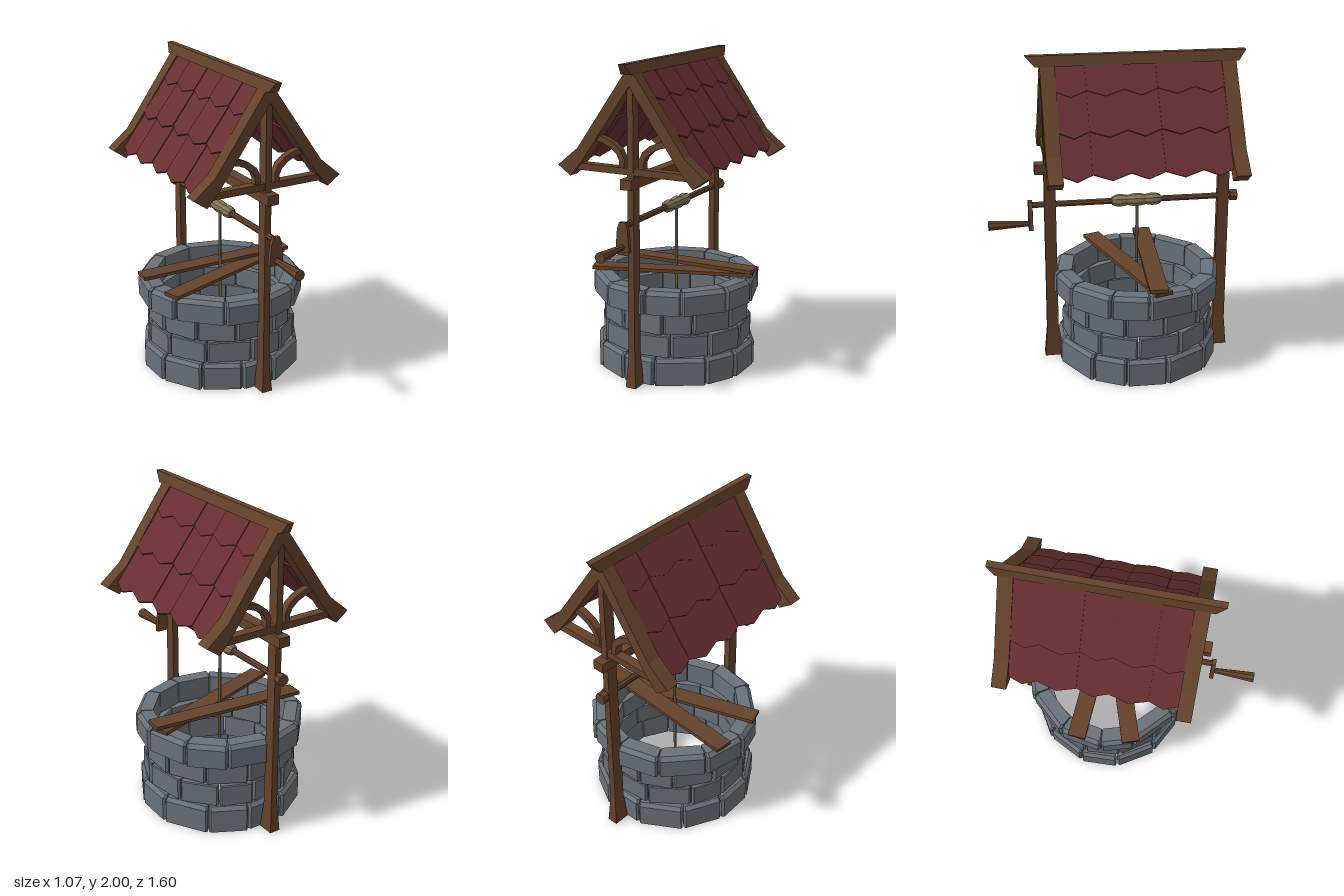
import * as THREE from 'three';

const mat = (name, color) => new THREE.MeshStandardMaterial({ name, color, flatShading: true });
const CZ = -0.14; // z of the well's axis

// Solid from stacked rings of [x, y, z], each counter-clockwise seen from above
function loft(rings) {
  const pos = [];
  const tri = (a, b, c) => pos.push(...a, ...b, ...c);
  const n = rings[0].length;
  for (let k = 0; k + 1 < rings.length; k++) {
    for (let i = 0; i < n; i++) {
      const j = (i + 1) % n, a = rings[k], b = rings[k + 1];
      tri(a[i], a[j], b[j]);
      tri(a[i], b[j], b[i]);
    }
  }
  const lo = rings[0], hi = rings[rings.length - 1];
  for (let i = 1; i + 1 < n; i++) {
    tri(hi[0], hi[i], hi[i + 1]);
    tri(lo[0], lo[i + 1], lo[i]);
  }
  const g = new THREE.BufferGeometry();
  g.setAttribute('position', new THREE.Float32BufferAttribute(pos, 3));
  g.computeVertexNormals();
  return g;
}

const rect = (y, hx, z0, z1) => [[-hx, y, z1], [hx, y, z1], [hx, y, z0], [-hx, y, z0]];

const shapeOf = (pts) => new THREE.Shape(pts.map(([x, y]) => new THREE.Vector2(x, y)));

export function createModel() {
  const root = new THREE.Group();
  root.name = 'well';
  const wood = mat('wood', 0x64422b);
  const red = mat('roof red', 0x682f31);
  const stone = mat('stone grey', 0x69727a);
  const rope = mat('rope', 0x827856);

  const add = (name, geo, m, parent = root) => {
    const mesh = new THREE.Mesh(geo, m);
    mesh.name = name;
    parent.add(mesh);
    return mesh;
  };
  const box = (name, w, h, d, x, y, z, parent) => {
    const b = add(name, new THREE.BoxGeometry(w, h, d), wood, parent);
    b.position.set(x, y, z);
    return b;
  };

  let seed = 7;
  const rnd = () => (seed = (seed * 16807) % 2147483647) / 2147483647 - 0.5;

  // Stone wall: four courses of twelve chamfered blocks
  const wall = new THREE.Group();
  wall.name = 'stoneWall';
  wall.position.z = CZ;
  root.add(wall);
  const courses = [ // bottom, top, outer radius, inner radius, first joint in degrees, top bevel
    [0, 0.172, 0.515, 0.425, 16, 0.022],
    [0.178, 0.315, 0.485, 0.405, -8, 0.006],
    [0.323, 0.458, 0.475, 0.4, 14, 0.006],
    [0.465, 0.612, 0.535, 0.425, 2, 0.025],
  ];
  for (const [y0, y1, ro, ri, first, bevel] of courses) {
    const joints = [...Array(12)].map((_, i) => THREE.MathUtils.degToRad(first + i * 30 + rnd() * 8));
    for (let i = 0; i < 12; i++) {
      const a = joints[i] + 0.007;
      const b = (i < 11 ? joints[i + 1] : joints[0] + Math.PI * 2) - 0.007;
      const r = ro + rnd() * 0.014;
      const ring = (y, inset) => [
        [a, r - 0.014], [a + 0.025, r], [b - 0.025, r], [b, r - 0.014], [b, ri], [a, ri],
      ].map(([t, q], k) => {
        const s = k < 4 ? q - inset : q;
        return [Math.sin(t) * s, y, Math.cos(t) * s];
      });
      add('stoneBlock', loft([ring(y0, 0), ring(y1 - bevel, 0), ring(y1, bevel)]), stone, wall);
    }
  }

  // Posts, trusses and curved braces at both ends
  const half = [[0.36, 1.475], [0.5, 1.36], [0.415, 1.3], [0.335, 1.39]];
  const mirror = (pts) => pts.map(([x, y]) => [-x, y]).reverse();
  const rafters = shapeOf([[0, 1.985], ...half, [0, 1.865], ...mirror(half)]);
  const brace = shapeOf([
    [0.05, 1.37], [0.05, 1.435], [0.075, 1.485], [0.125, 1.525], [0.185, 1.55], [0.245, 1.56],
    [0.26, 1.525], [0.195, 1.515], [0.14, 1.49], [0.1, 1.455], [0.083, 1.42], [0.083, 1.37],
  ].reverse());
  for (const z of [0.412, -0.692]) {
    const end = new THREE.Group();
    end.name = z > 0 ? 'frontFrame' : 'backFrame';
    end.position.z = z;
    root.add(end);
    add('post', loft([
      rect(0, 0.035, -0.053, 0.053), rect(0.07, 0.03, -0.047, 0.047),
      rect(0.19, 0.022, -0.037, 0.037), rect(1.86, 0.02, -0.035, 0.035),
    ]), wood, end);
    const g = new THREE.ExtrudeGeometry(rafters, { depth: 0.09, bevelEnabled: false });
    add('rafters', g.translate(0, 0, -0.045), wood, end);
    box('tieBeam', 0.74, 0.042, 0.06, 0, 1.36, 0, end);
    for (const turn of [0, Math.PI]) {
      const bg = new THREE.ExtrudeGeometry(brace, { depth: 0.046, bevelEnabled: false });
      add('brace', bg.translate(0, 0, -0.023), wood, end).rotation.y = turn;
    }
  }
  box('longBeam', 0.074, 0.062, 1.285, 0, 1.293, -0.138);
  add('ridgeBeam', loft([rect(1.935, 0.036, -0.755, 0.485), rect(2, 0.02, -0.8, 0.542)]), wood);

  // Roof: three overlapping rows of pointed shingles on each slope
  const edges = [-0.515, -0.33, -0.1, 0.1, 0.33, 0.515];
  const rowEnds = [0.264, 0.52, 0.783];
  for (const turn of [0, Math.PI]) {
    const side = new THREE.Group();
    side.name = turn ? 'rightRoof' : 'leftRoof';
    side.position.set(0, 1.994, CZ);
    side.rotation.y = turn;
    root.add(side);
    const slope = new THREE.Group();
    slope.name = 'shingles';
    slope.quaternion.setFromRotationMatrix(new THREE.Matrix4().makeBasis(
      new THREE.Vector3(0, 0, -1), new THREE.Vector3(-0.568, 0.823, 0), new THREE.Vector3(0.823, 0.568, 0)));
    side.add(slope);
    rowEnds.forEach((s1, r) => {
      const s0 = r ? rowEnds[r - 1] - 0.1 : 0.045;
      const len = s1 - s0;
      for (let i = 0; i < 5; i++) {
        const x0 = edges[i], x1 = edges[i + 1];
        const tile = shapeOf([[x0, 0], [x0, -len + 0.04], [(x0 + x1) / 2, -len], [x1, -len + 0.04], [x1, 0]]);
        const m = add('shingle', new THREE.ExtrudeGeometry(tile, { depth: 0.012, bevelEnabled: false }), red, slope);
        m.position.set(0, -s0, -0.028 + (i % 2) * 0.005);
        m.rotation.x = -0.05;
      }
    });
  }

  // Windlass: axle, end knob, crank arm and tapered handle
  const rod = (name, r0, r1, z0, z1, y, sides, m) => {
    const g = new THREE.CylinderGeometry(r1, r0, z1 - z0, sides).rotateX(Math.PI / 2);
    add(name, g, m).position.set(0, y, (z0 + z1) / 2);
  };
  rod('axle', 0.02, 0.02, -0.76, 0.54, 1.052, 8, wood);
  rod('axleKnob', 0.037, 0.037, -0.782, -0.738, 1.052, 8, wood);
  add('crankArm', loft([
    rect(0.897, 0.047, 0.522, 0.548), rect(1.04, 0.035, 0.522, 0.548), rect(1.078, 0.02, 0.522, 0.548),
  ]), wood);
  rod('crankHandle', 0.017, 0.034, 0.54, 0.8, 0.928, 8, wood);

  // Rope wound on the axle and hanging into the well
  const bumps = [[0, -0.158], [0.026, -0.155], [0.038, -0.13], [0.041, -0.1], [0.033, -0.055],
    [0.041, -0.025], [0.041, 0.02], [0.033, 0.055], [0.041, 0.1], [0.038, 0.13], [0.026, 0.155], [0, 0.158]];
  const coil = new THREE.LatheGeometry(bumps.map(([r, y]) => new THREE.Vector2(r, y)), 9);
  add('ropeCoil', coil.rotateX(Math.PI / 2), rope).position.set(0, 1.052, -0.135);
  add('hangingRope', new THREE.CylinderGeometry(0.01, 0.01, 0.99, 6), rope).position.set(0, 0.545, CZ);

  // Two loose planks across the rim, one resting on the other
  const plank = (name, a, b, thick) => {
    const from = new THREE.Vector3(...a), to = new THREE.Vector3(...b);
    const p = box(name, from.distanceTo(to), thick, 0.115, 0, 0, 0);
    p.position.copy(from).add(to).multiplyScalar(0.5);
    p.quaternion.setFromUnitVectors(new THREE.Vector3(1, 0, 0), to.sub(from).normalize());
  };
  plank('lowerPlank', [-0.48, 0.626, 0.098], [0.505, 0.626, -0.23], 0.022);
  plank('upperPlank', [-0.515, 0.632, -0.255], [0.53, 0.658, -0.193], 0.022);

  return root;
}
